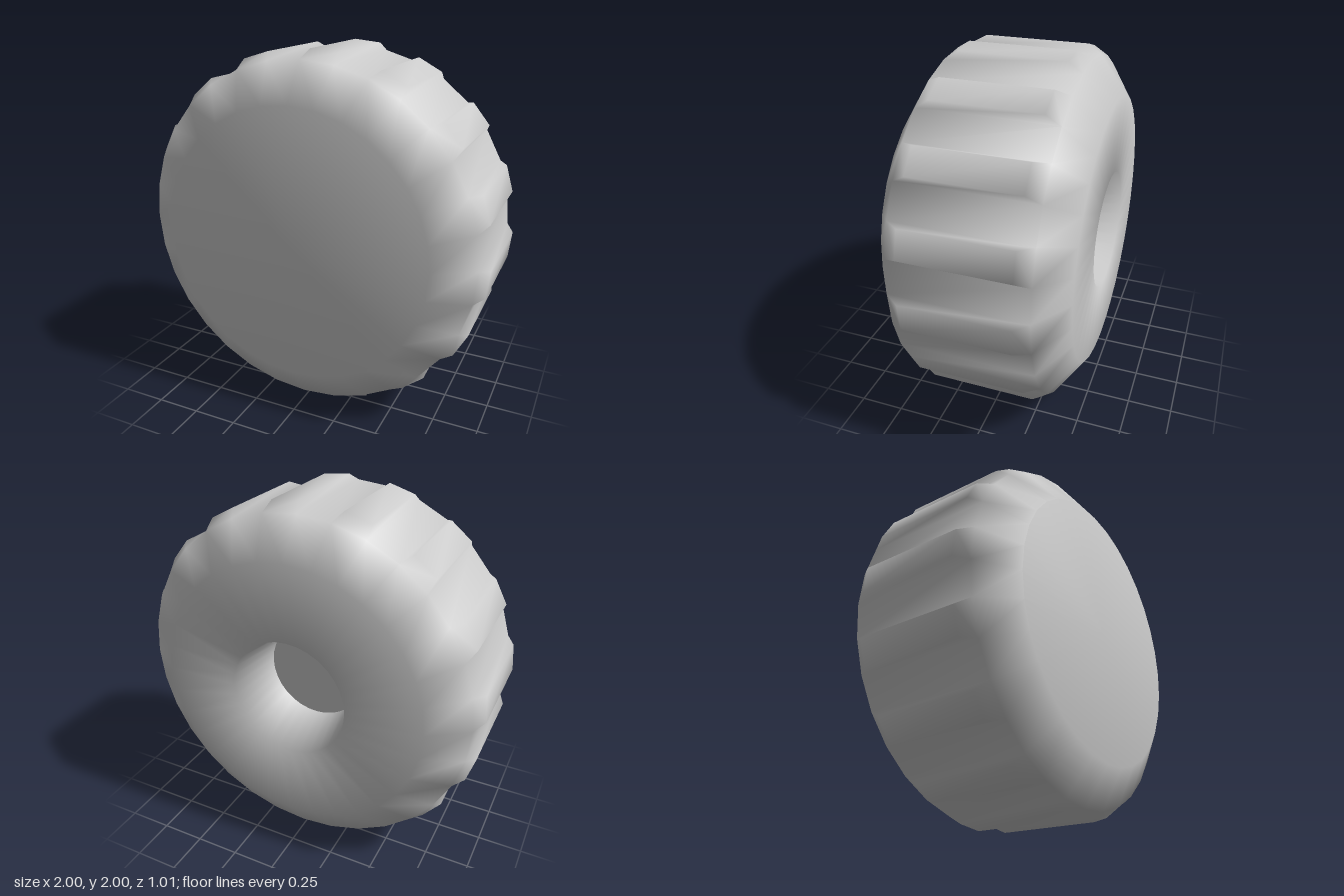
import * as THREE from 'three';

const SIDES = 32;
const STEP = (Math.PI * 2) / SIDES;

export function createModel() {
  const group = new THREE.Group();
  const material = new THREE.MeshStandardMaterial({ color: 0xcccccc });
  const positions = [];
  const index = [];

  const addVertex = (radius, angle, z) => {
    positions.push(radius * Math.cos(angle), radius * Math.sin(angle), z);
    return positions.length / 3 - 1;
  };
  const quad = (a, b, c, d) => index.push(a, b, c, a, c, d);

  // Tyre profile [radius, z]: front rim, tread band, back rim, hub socket
  const profile = [
    [0.75, 0.505], [0.955, 0.365], [0.955, -0.365],
    [0.75, -0.505], [0.33, -0.505], [0.28, -0.17],
  ];
  const TREAD_RING = 1;
  const rings = profile.map(([r, z]) =>
    Array.from({ length: SIDES }, (_, j) => addVertex(r, j * STEP, z)));

  // Closed front face
  const centre = addVertex(0, 0, 0.505);
  for (let j = 0; j < SIDES; j++) index.push(centre, rings[0][j], rings[0][(j + 1) % SIDES]);

  // Walls between rings; every second face of the band rises into a tread block
  const inset = 0.022;
  for (let i = 0; i < rings.length - 1; i++) {
    for (let j = 0; j < SIDES; j++) {
      const k = (j + 1) % SIDES;
      const base = [rings[i][j], rings[i + 1][j], rings[i + 1][k], rings[i][k]];
      if (i !== TREAD_RING || j % 2 === 0) {
        quad(...base);
        continue;
      }
      const a0 = j * STEP + inset;
      const a1 = (j + 1) * STEP - inset;
      const top = [
        addVertex(1, a0, 0.29), addVertex(1, a0, -0.29),
        addVertex(1, a1, -0.29), addVertex(1, a1, 0.29),
      ];
      for (let n = 0; n < 4; n++) {
        const m = (n + 1) % 4;
        quad(base[n], base[m], top[m], top[n]);
      }
      quad(...top);
    }
  }

  const geometry = new THREE.BufferGeometry();
  geometry.setAttribute('position', new THREE.Float32BufferAttribute(positions, 3));
  geometry.setIndex(index);
  geometry.computeVertexNormals();
  const tyre = new THREE.Mesh(geometry, material);
  tyre.name = 'treadedTyre';
  tyre.position.y = 1;
  group.add(tyre);

  // Flat floor of the axle socket, facing the back
  const floor = new THREE.Mesh(new THREE.CircleGeometry(0.28, SIDES), material);
  floor.name = 'axleSocketFloor';
  floor.rotation.y = Math.PI;
  floor.position.set(0, 1, -0.17);
  group.add(floor);

  return group;
}
